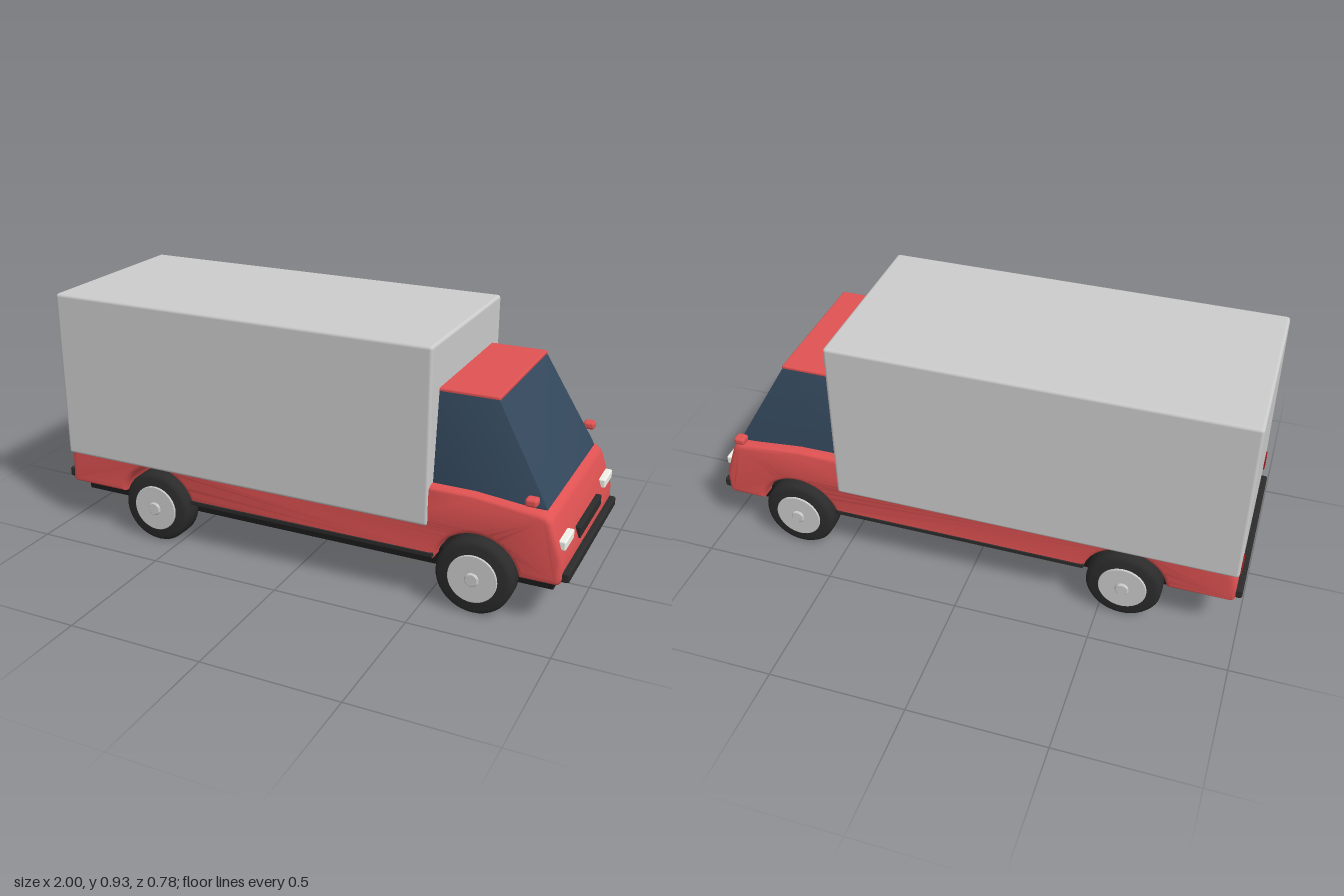
import * as THREE from 'three';
import { toCreasedNormals } from 'three/addons/utils/BufferGeometryUtils.js';
import { RoundedBoxGeometry } from 'three/addons/geometries/RoundedBoxGeometry.js';

const paint = (color) => new THREE.MeshStandardMaterial({ color });
const RED = paint(0xe05252), GREY = paint(0xcccccc), GLASS = paint(0x34495e);
const BLACK = paint(0x2b2b2b), CHASSIS = paint(0x1a1a1a), LAMP = paint(0xf0f0e8);
const TAIL = paint(0x991c1c), RIM = paint(0xc8c8cc);

export function createModel() {
  const truck = new THREE.Group();
  truck.name = 'boxTruck';

  const add = (name, geometry, material, parent = truck) => {
    const mesh = new THREE.Mesh(geometry, material);
    mesh.name = name;
    parent.add(mesh);
    return mesh;
  };
  // Rounded box given by its extents on each axis
  const block = (name, [x0, x1], [y0, y1], [z0, z1], material, r = 0.006) => {
    const g = new RoundedBoxGeometry(x1 - x0, y1 - y0, z1 - z0, 2, r);
    g.translate((x0 + x1) / 2, (y0 + y1) / 2, (z0 + z1) / 2);
    return add(name, g, material);
  };
  // Side profile extruded across the width, bevelled inside its outline
  const extrudeSide = (shape, halfWidth, bevel) => {
    const g = new THREE.ExtrudeGeometry(shape, {
      depth: 2 * (halfWidth - bevel), bevelEnabled: true, bevelSize: bevel,
      bevelThickness: bevel, bevelOffset: -bevel, bevelSegments: 4, curveSegments: 24,
    });
    return g.translate(0, 0, bevel - halfWidth);
  };

  const axles = [-0.585, 0.68], wheelY = 0.14, archR = 0.155, sillY = 0.17;

  // Lower body and cab nose in one piece, with open wheel arches
  const body = new THREE.Shape();
  body.moveTo(-0.96, sillY);
  const a = Math.asin((sillY - wheelY) / archR);
  for (const x of axles) body.absarc(x, wheelY, archR, Math.PI - a, a, true);
  body.lineTo(0.955, sillY);
  body.quadraticCurveTo(0.975, sillY, 0.977, 0.2);
  body.lineTo(0.977, 0.265);
  body.lineTo(0.935, 0.385);
  body.quadraticCurveTo(0.925, 0.413, 0.89, 0.418);
  body.lineTo(0.66, 0.44);
  body.lineTo(0.5, 0.441);
  body.lineTo(0.48, 0.37);
  body.lineTo(-0.94, 0.37);
  body.lineTo(-0.975, 0.28);
  body.lineTo(-0.978, 0.19);
  body.quadraticCurveTo(-0.978, sillY, -0.96, sillY);
  add('body', toCreasedNormals(extrudeSide(body, 0.344, 0.02), 0.6), RED);

  // Windows: wedge that narrows towards the roof
  const cabin = new THREE.Shape([[0.49, 0.42], [0.907, 0.42], [0.9, 0.437], [0.714, 0.76], [0.49, 0.76]]
    .map(([x, y]) => new THREE.Vector2(x, y)));
  const glass = extrudeSide(cabin, 1, 0.006);
  const p = glass.attributes.position;
  for (let i = 0; i < p.count; i++) {
    const t = (p.getY(i) - 0.43) / 0.33;
    p.setZ(i, p.getZ(i) * THREE.MathUtils.lerp(0.307, 0.273, t));
  }
  add('cabWindows', toCreasedNormals(glass, 0.5), GLASS);
  block('cabRoof', [0.49, 0.718], [0.752, 0.768], [-0.273, 0.273], RED);

  block('cargoBox', [-0.98, 0.51], [0.293, 0.93], [-0.35, 0.35], GREY, 0.012);
  block('chassis', [-0.95, 0.937], [0.118, 0.19], [-0.275, 0.275], CHASSIS, 0.003);

  // Bumpers and front trim
  block('frontBumper', [0.965, 1], [0.183, 0.22], [-0.33, 0.33], BLACK, 0.008);
  block('rearBumper', [-1, -0.965], [0.183, 0.22], [-0.33, 0.33], BLACK, 0.008);
  block('grille', [0.945, 0.984], [0.26, 0.302], [-0.145, 0.145], BLACK, 0.004);

  // Paired parts on both sides
  for (const s of [1, -1]) {
    const side = s > 0 ? 'left' : 'right';
    const z = (near, far) => (s > 0 ? [near, far] : [-far, -near]);
    block(side + 'Headlight', [0.94, 0.979], [0.294, 0.328], z(0.213, 0.323), LAMP);
    block(side + 'TailLight', [-0.985, -0.96], [0.295, 0.337], z(0.265, 0.33), TAIL, 0.003);
    block(side + 'Mirror', [0.85, 0.892], [0.457, 0.485], z(0.347, 0.389), RED, 0.01);
    block(side + 'SillStrip', [-0.435, 0.53], [0.179, 0.196], z(0.32, 0.347), BLACK, 0.003);
  }

  // Wheels: tyre, rim disc and hub cap, turned around z
  const turned = (points) => toCreasedNormals(
    new THREE.LatheGeometry(points.map(([r, h]) => new THREE.Vector2(r, h)), 40).rotateX(Math.PI / 2), 0.7);
  const tyre = turned([[0, -0.048], [0.118, -0.048], [0.13, -0.044], [0.137, -0.034],
    [0.138, 0], [0.137, 0.034], [0.13, 0.044], [0.118, 0.048], [0, 0.048]]);
  const rim = turned([[0, 0.04], [0.088, 0.04], [0.088, 0.053], [0.086, 0.055], [0, 0.055]]);
  const hub = turned([[0, 0.05], [0.025, 0.05], [0.025, 0.06], [0.021, 0.064], [0, 0.064]]);
  axles.forEach((x, i) => {
    for (const s of [1, -1]) {
      const wheel = new THREE.Group();
      wheel.name = (i ? 'front' : 'rear') + (s > 0 ? 'Left' : 'Right') + 'Wheel';
      add('tyre', tyre, BLACK, wheel);
      add('rim', rim, RIM, wheel);
      add('hub', hub, RIM, wheel);
      wheel.position.set(x, wheelY, s * 0.308);
      wheel.rotation.y = s > 0 ? 0 : Math.PI;
      truck.add(wheel);
    }
  });

  return truck;
}
